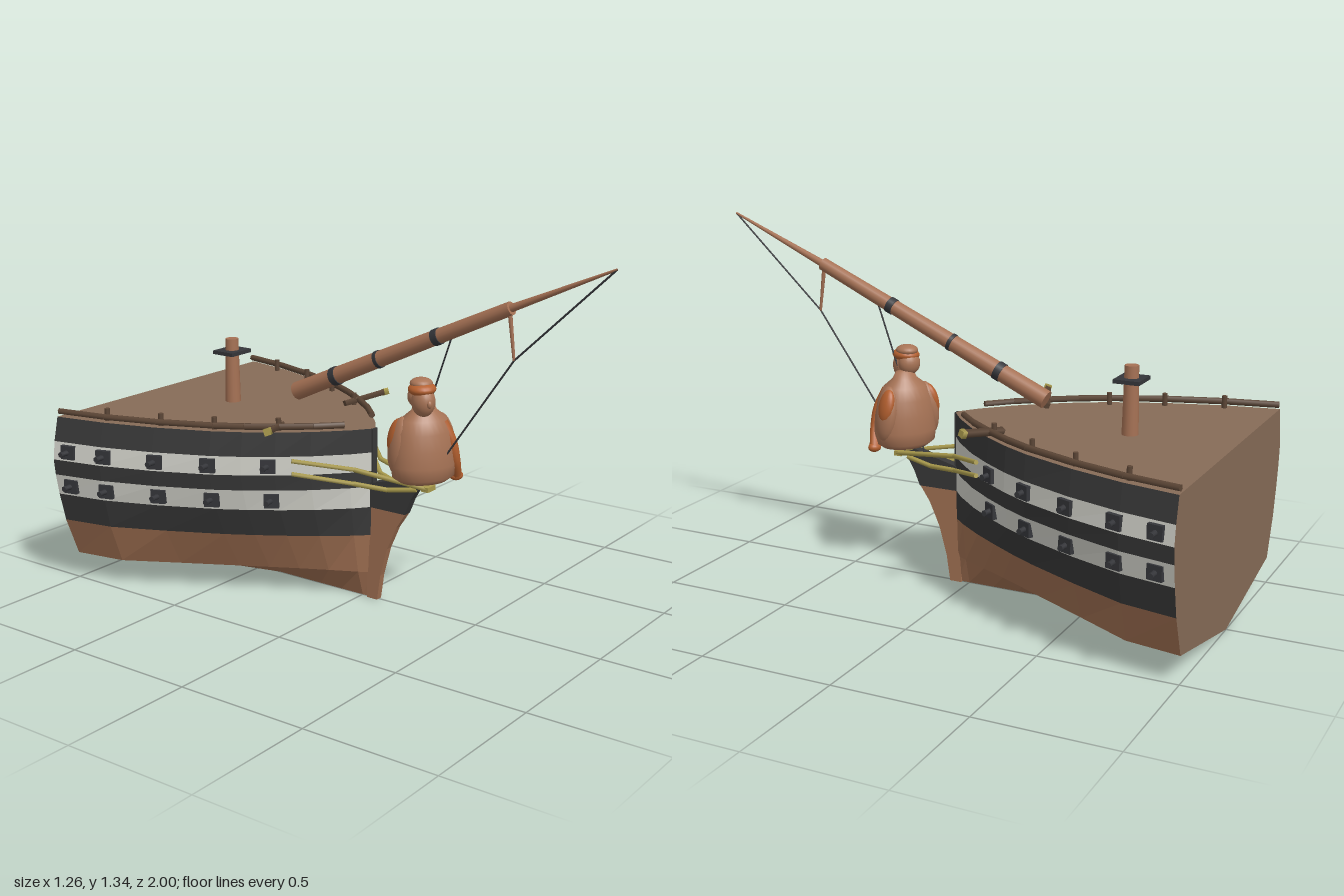
import * as THREE from 'three';

const V = (x, y, z) => new THREE.Vector3(x, y, z);
const lerp = THREE.MathUtils.lerp;

// Hull stations as [z, greatest half width], bow to stern
const STATIONS = [[0.05, 0.012], [0, 0.08], [-0.1, 0.185], [-0.2, 0.268], [-0.3, 0.34], [-0.4, 0.4],
  [-0.6, 0.49], [-0.8, 0.558], [-1, 0.6]];
// Hull levels as [y, width factor at bow, width factor at stern]
const LEVELS = [[0, 0, 0], [0.1, 0.38, 0.83], [0.25, 0.7, 0.925], [0.36, 0.88, 0.967], [0.44, 0.96, 0.99],
  [0.5, 1, 1], [0.57, 1, 0.985], [0.66, 0.97, 0.95]];

function beam(z) {
  for (let i = 1; i < STATIONS.length; i++) {
    const [z0, w0] = STATIONS[i - 1], [z1, w1] = STATIONS[i];
    if (z >= z1) return lerp(w0, w1, (z0 - z) / (z0 - z1));
  }
  return 0.6;
}
function hullX(z, j) {
  const t = THREE.MathUtils.clamp(-z / 0.8, 0, 1);
  return beam(z) * lerp(LEVELS[j][1], LEVELS[j][2], t);
}
const hullPoint = (i, j, s) => V(s * hullX(STATIONS[i][0], j), LEVELS[j][0], STATIONS[i][0]);

// Flat-faced geometry from a list of quads
function fromQuads(quads) {
  const p = [];
  for (const [a, b, c, d] of quads) for (const v of [a, b, c, a, c, d]) p.push(v.x, v.y, v.z);
  const g = new THREE.BufferGeometry();
  g.setAttribute('position', new THREE.Float32BufferAttribute(p, 3));
  g.computeVertexNormals();
  return g;
}

export function createModel() {
  const model = new THREE.Group();
  const mat = (name, color, flatShading = false) => {
    const m = new THREE.MeshStandardMaterial({ color, flatShading });
    m.name = name;
    return m;
  };
  const wood = mat('hull wood', 0xa07052, true);
  const black = mat('black paint', 0x383838, true);
  const white = mat('white paint', 0xd0d0c8, true);
  const deckWood = mat('deck wood', 0x866b57, true);
  const spar = mat('spar wood', 0xa57154);
  const iron = mat('iron', 0x35363a);
  const dark = mat('dark wood', 0x5c4636);
  const gold = mat('gold', 0xa99a4c);
  const skin = mat('carved wood', 0xa87456);
  const rust = mat('rust cloth', 0xb4602f);

  function add(name, geo, material, pos, parent = model) {
    const m = new THREE.Mesh(geo, material);
    m.name = name;
    if (pos) m.position.copy(pos);
    parent.add(m);
    return m;
  }
  // Round bar between two points
  function bar(name, a, b, r0, r1, material, sides = 12, parent = model) {
    const d = b.clone().sub(a);
    const m = add(name, new THREE.CylinderGeometry(r1, r0, d.length(), sides), material, a.clone().lerp(b, 0.5), parent);
    m.quaternion.setFromUnitVectors(V(0, 1, 0), d.normalize());
  }
  function ball(name, pos, size, material, parent, tilt = 0) {
    const m = add(name, new THREE.SphereGeometry(1, 20, 14), material, pos, parent);
    m.scale.copy(size);
    m.rotation.z = tilt;
  }

  // Painted hull strakes
  function strake(name, j0, j1, material) {
    const quads = [];
    for (const s of [1, -1]) for (let j = j0; j < j1; j++) for (let i = 0; i < STATIONS.length - 1; i++) {
      const q = [hullPoint(i, j, s), hullPoint(i + 1, j, s), hullPoint(i + 1, j + 1, s), hullPoint(i, j + 1, s)];
      quads.push(s > 0 ? q : q.reverse());
    }
    add(name, fromQuads(quads), material);
  }
  strake('lowerHull', 0, 2, wood);
  strake('lowerBlackBand', 2, 3, black);
  strake('lowerWhiteBand', 3, 4, white);
  strake('middleBlackBand', 4, 5, black);
  strake('upperWhiteBand', 5, 6, white);
  strake('upperBlackBand', 6, 7, black);

  // Deck and flat stern face
  const deckQuads = [], sternQuads = [], end = STATIONS.length - 1;
  for (let i = 0; i < end; i++)
    deckQuads.push([hullPoint(i, 7, 1), hullPoint(i + 1, 7, 1), hullPoint(i + 1, 7, -1), hullPoint(i, 7, -1)]);
  for (let j = 0; j < 7; j++)
    sternQuads.push([hullPoint(end, j, 1), hullPoint(end, j, -1), hullPoint(end, j + 1, -1), hullPoint(end, j + 1, 1)]);
  add('deck', fromQuads(deckQuads), deckWood);
  add('sternFace', fromQuads(sternQuads), deckWood);

  // Stem and beakhead, drawn in side profile
  function plate(name, points, width, material) {
    const g = new THREE.ExtrudeGeometry(new THREE.Shape(points.map(p => new THREE.Vector2(...p))),
      { depth: width, bevelEnabled: false });
    g.translate(0, 0, -width / 2);
    g.rotateY(-Math.PI / 2);
    add(name, g, material);
  }
  plate('stem', [[0.03, 0], [0.075, 0], [0.09, 0.1], [0.12, 0.21], [0.16, 0.3], [0.2, 0.36], [0.03, 0.36]], 0.026, wood);
  plate('beakhead', [[0.03, 0.36], [0.2, 0.36], [0.225, 0.42], [0.26, 0.48], [0.22, 0.5], [0.03, 0.45]], 0.034, black);
  plate('bowPost', [[0.03, 0.36], [0.056, 0.36], [0.056, 0.66], [0.03, 0.66]], 0.026, black);

  // Fittings repeated on both sides
  for (const s of [1, -1]) {
    const side = new THREE.Group();
    side.name = s > 0 ? 'leftFittings' : 'rightFittings';
    model.add(side);

    // Top rail and its pins
    const railAt = z => V(s * (hullX(z, 7) - 0.012), 0.679, z);
    const stops = [-0.02, ...STATIONS.slice(2).map(a => a[0])];
    for (let i = 1; i < stops.length; i++)
      bar('topRail', railAt(stops[i - 1]), railAt(stops[i]), 0.012, 0.012, dark, 6, side);
    for (const z of [-0.21, -0.41, -0.6, -0.81]) {
      const x = railAt(z).x - s * 0.024;
      bar('railPin', V(x, 0.655, z), V(x, 0.706, z), 0.01, 0.01, dark, 8, side);
    }

    // Guns with square port frames
    for (const z of [-0.22, -0.405, -0.59, -0.785, -0.935]) for (const [y, j] of [[0.535, 5], [0.4, 3]]) {
      const x = (hullX(z, j) + hullX(z, j + 1)) / 2;
      const slope = (beam(z + 0.03) - beam(z - 0.03)) / 0.06;
      const frame = add('gunPort', new THREE.BoxGeometry(0.026, 0.052, 0.056), iron, V(s * x, y, z), side);
      frame.rotation.y = s * Math.atan(slope);
      const out = V(s, 0, -slope * 0.3).normalize();
      const at = d => V(s * x, y, z).addScaledVector(out, d);
      bar('gunBarrel', at(-0.01), at(0.045), 0.012, 0.008, iron, 10, side);
      bar('gunMuzzle', at(0.037), at(0.046), 0.0105, 0.0105, iron, 10, side);
    }

    // Anchor beam with gilded end
    bar('anchorBeam', V(s * 0.19, 0.67, -0.225), V(s * 0.35, 0.692, -0.158), 0.015, 0.015, dark, 4, side);
    bar('anchorBeamEnd', V(s * 0.35, 0.692, -0.158), V(s * 0.367, 0.694, -0.15), 0.018, 0.018, gold, 4, side);

    // Gilded head rails sweeping to the beakhead
    for (const path of [
      [V(0.238, 0.557, -0.145), V(0.085, 0.517, 0.02), V(0.04, 0.49, 0.2), V(0.016, 0.475, 0.3)],
      [V(0.238, 0.508, -0.145), V(0.083, 0.462, 0.02), V(0.04, 0.45, 0.14), V(0.016, 0.465, 0.25)]]) {
      path.forEach(p => { p.x *= s; });
      for (let i = 1; i < path.length; i++) bar('headRail', path[i - 1], path[i], 0.009, 0.009, gold, 6, side);
    }
  }
  add('headRailTip', new THREE.BoxGeometry(0.05, 0.018, 0.03), gold, V(0, 0.475, 0.29));

  // Bowsprit with iron bands and jib boom
  const heel = V(0, 0.747, -0.305), cap = V(0, 1.168, 0.615), tip = V(0, 1.336, 0.998);
  bar('bowsprit', heel, cap, 0.034, 0.024, spar, 16);
  bar('jibBoom', cap, tip, 0.014, 0.004, spar, 12);
  for (const t of [0.2, 0.41, 0.68]) {
    const r = 0.037 - 0.01 * t, half = t === 0.41 ? 0.007 : 0.013;
    bar('bowspritBand', heel.clone().lerp(cap, t - half), heel.clone().lerp(cap, t + half), r, r, iron, 16);
  }
  bar('strikerSpar', V(0, 1.15, 0.61), V(0, 0.99, 0.63), 0.008, 0.005, spar, 8);

  // Stays
  for (const [a, b] of [[tip, V(0, 0.99, 0.63)], [V(0, 0.99, 0.63), V(0, 0.47, 0.265)], [V(0, 1.04, 0.38), V(0, 0.48, 0.185)]])
    bar('stay', a, b, 0.0035, 0.0035, iron, 6);

  // Mast stump and platform
  bar('mast', V(0, 0.65, -0.625), V(0, 0.908, -0.625), 0.03, 0.025, spar, 16);
  add('mastPlatform', new THREE.BoxGeometry(0.112, 0.014, 0.096), iron, V(0, 0.857, -0.625));

  // Figurehead bust, turned towards its right
  const bust = new THREE.Group();
  bust.name = 'figurehead';
  bust.position.set(-0.003, 0, 0.268);
  bust.rotation.y = -0.5;
  model.add(bust);
  const profile = [[0, 0.508], [0.085, 0.506], [0.11, 0.525], [0.116, 0.57], [0.111, 0.63], [0.1, 0.69],
    [0.08, 0.735], [0.045, 0.765], [0.033, 0.79], [0, 0.8]].map(p => new THREE.Vector2(...p));
  add('torso', new THREE.LatheGeometry(profile, 28), skin, V(0, 0, 0.005), bust).scale.set(1.07, 1, 0.83);
  for (const s of [1, -1]) {
    ball('upperArm', V(s * 0.09, 0.64, -0.01), V(0.037, 0.105, 0.052), skin, bust, s * 0.15);
    ball('sleevePatch', V(s * 0.098, 0.672, -0.022), V(0.026, 0.066, 0.037), rust, bust, s * 0.24);
  }
  ball('head', V(-0.02, 0.805, 0.036), V(0.042, 0.056, 0.048), skin, bust);
  ball('nose', V(-0.02, 0.803, 0.083), V(0.009, 0.014, 0.009), skin, bust);
  ball('hair', V(-0.02, 0.818, 0.004), V(0.043, 0.044, 0.036), skin, bust);
  ball('cap', V(-0.02, 0.848, 0.026), V(0.05, 0.025, 0.052), rust, bust, 0.05);
  ball('capCrown', V(-0.018, 0.866, 0.016), V(0.041, 0.021, 0.042), skin, bust);
  // Sash falling over the left arm
  const fall = new THREE.CatmullRomCurve3([V(0.055, 0.725, 0.04), V(0.084, 0.65, 0.058), V(0.1, 0.58, 0.055), V(0.125, 0.508, 0.022)]);
  add('sash', new THREE.TubeGeometry(fall, 16, 0.02, 10), rust, null, bust);
  ball('sashEnd', V(0.124, 0.511, 0.024), V(0.026, 0.018, 0.02), rust, bust);

  return model;
}
